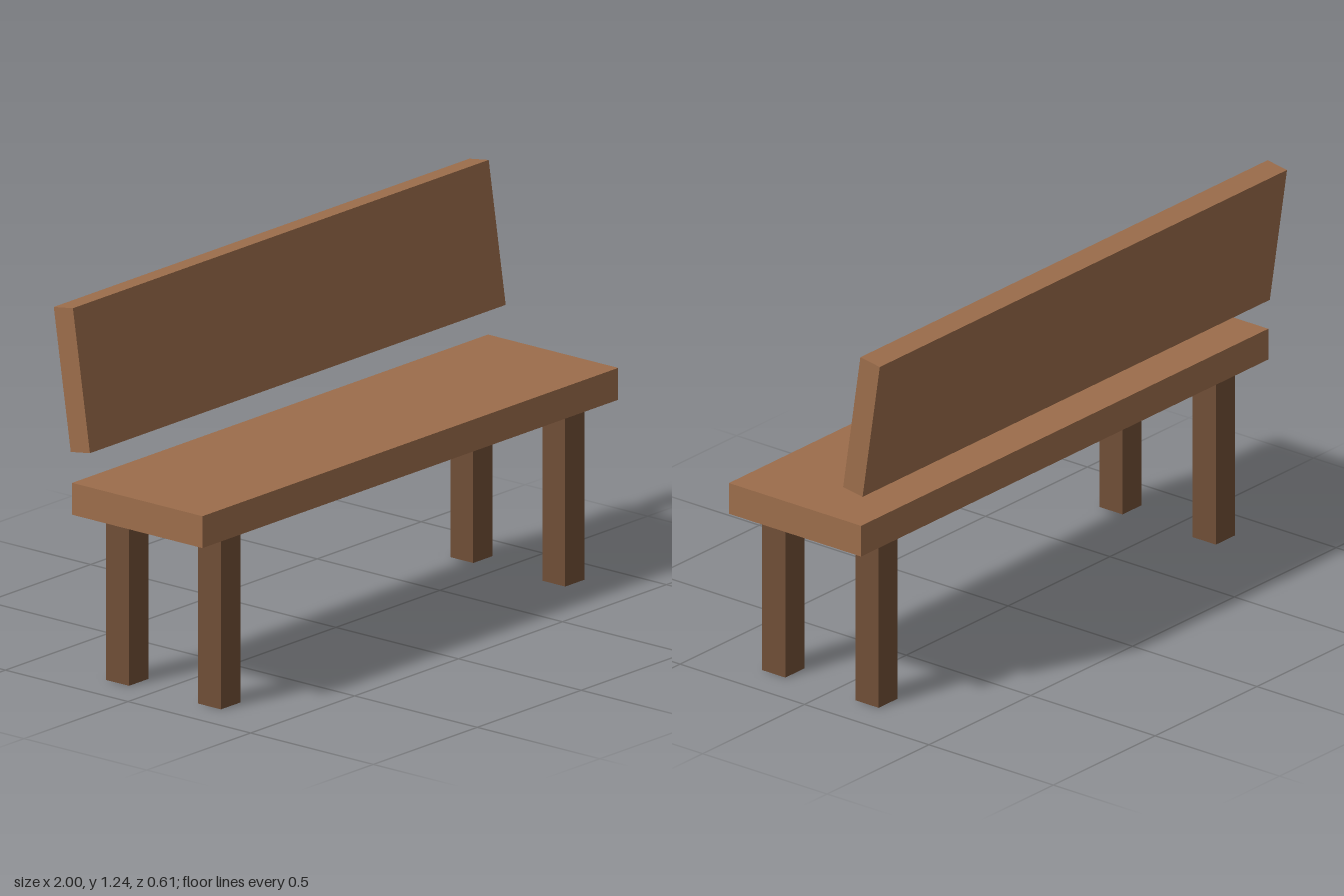
import * as THREE from 'three';

export function createModel() {
  const bench = new THREE.Group();
  bench.name = 'bench';

  const plankWood = new THREE.MeshStandardMaterial({ color: 0x9c6d4b });
  plankWood.name = 'plank wood';
  const legWood = new THREE.MeshStandardMaterial({ color: 0x704e36 });
  legWood.name = 'leg wood';

  function addBox(name, size, position, material) {
    const mesh = new THREE.Mesh(new THREE.BoxGeometry(...size), material);
    mesh.name = name;
    mesh.position.set(...position);
    bench.add(mesh);
    return mesh;
  }

  // Seat plank
  addBox('seat', [2, 0.104, 0.531], [0, 0.615, 0.038], plankWood);

  // Floating backrest, leaning back
  const backrest = addBox('backrest', [2, 0.464, 0.079], [0, 1.002, -0.229], plankWood);
  backrest.rotation.x = -0.15;

  // Four square legs
  for (const [side, x] of [['Left', 0.828], ['Right', -0.828]]) {
    for (const [end, z] of [['front', 0.226], ['back', -0.149]]) {
      addBox(`${end}${side}Leg`, [0.093, 0.563, 0.093], [x, 0.2815, z], legWood);
    }
  }

  return bench;
}
